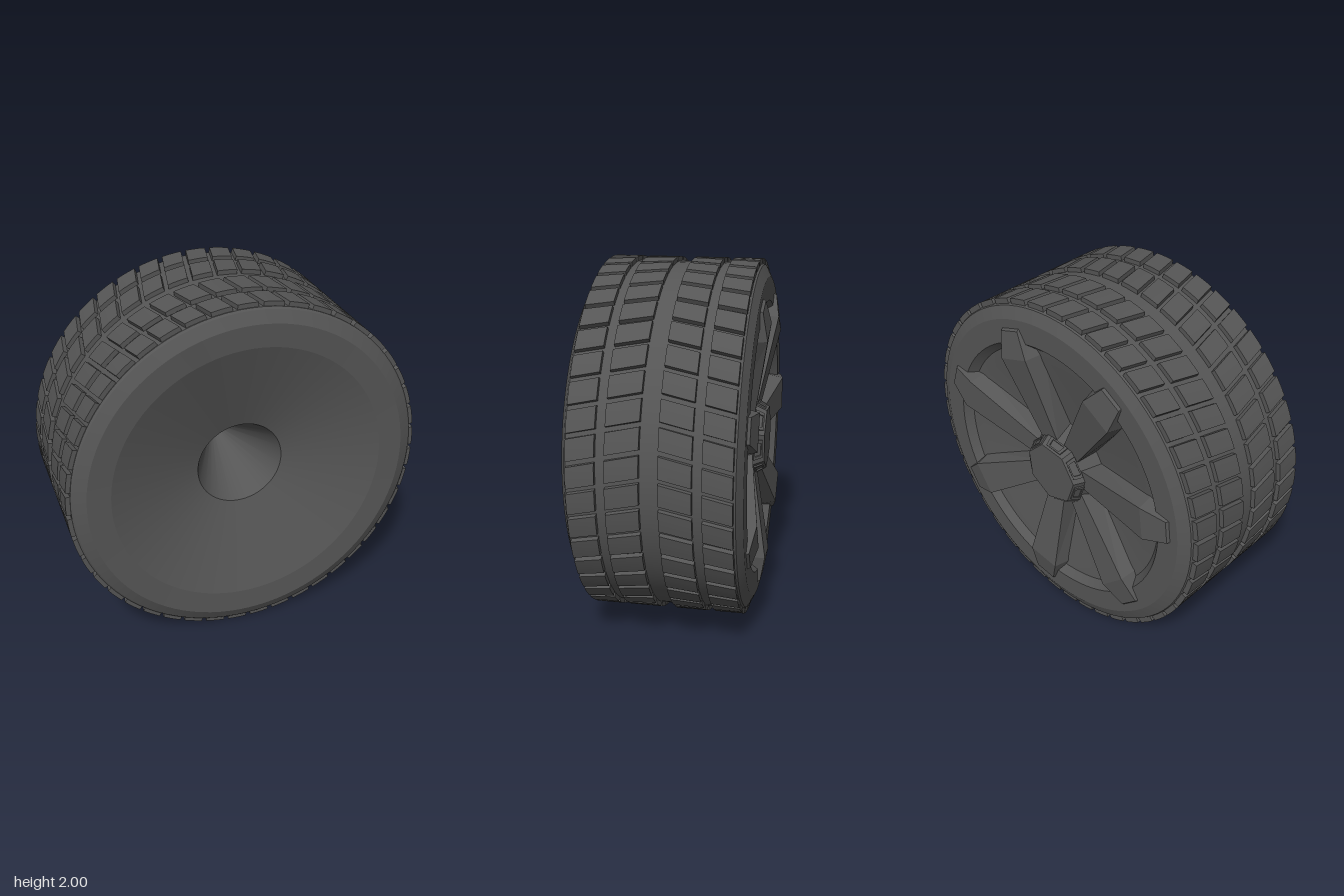
import * as THREE from 'three';
import { mergeGeometries, toCreasedNormals } from 'three/addons/utils/BufferGeometryUtils.js';

const SPOKES = 7;
const FIRST_SPOKE = -Math.PI * 0.75; // angle of the first spoke in the wheel plane
const TREAD_COUNT = 45;

const rubber = new THREE.MeshStandardMaterial({ color: 0x555555 });

function part(name, geometry) {
  const mesh = new THREE.Mesh(geometry, rubber);
  mesh.name = name;
  return mesh;
}

// Replace every vertex of a geometry by rule(vertex)
function reshape(geometry, rule) {
  const pos = geometry.attributes.position;
  const v = new THREE.Vector3();
  for (let i = 0; i < pos.count; i++) {
    rule(v.fromBufferAttribute(pos, i));
    pos.setXYZ(i, v.x, v.y, v.z);
  }
  return geometry;
}

// Closed wheel body: spoked dish at the back, sidewalls, deep cone at the front
function wheelBody() {
  const profile = [
    [0, -0.27], [0.2, -0.28], [0.66, -0.385], [0.73, -0.395], [0.77, -0.44], [0.9, -0.44],
    [0.965, -0.41], [0.975, -0.39], [0.975, 0.43], [0.965, 0.44], [0.9, 0.472],
    [0.77, 0.465], [0.245, 0.3], [0.04, -0.1], [0, -0.1],
  ].map(([r, z]) => new THREE.Vector2(r, z));
  const geometry = new THREE.LatheGeometry(profile, 96).rotateX(Math.PI / 2);
  return part('wheelBody', toCreasedNormals(geometry, 0.2));
}

// One ring of slanted tread blocks between z0 and z1
function treadRow(name, z0, z1) {
  const step = (Math.PI * 2) / TREAD_COUNT;
  const blocks = [];
  for (let i = 0; i < TREAD_COUNT; i++) {
    const block = reshape(new THREE.BoxGeometry(1, 1, 1, 3, 1, 1), (v) => {
      const z = v.z < 0 ? z0 : z1;
      const top = v.y > 0;
      const r = top ? 1 : 0.965;
      const width = step - (top ? 0.028 : 0.022);
      const a = i * step - v.x * width - 0.22 * Math.abs(z - 0.01);
      v.set(r * Math.cos(a), r * Math.sin(a), z);
    });
    blocks.push(block);
  }
  const geometry = mergeGeometries(blocks);
  geometry.computeVertexNormals();
  return part(name, geometry);
}

// Tapered spoke along +y, its outer side towards -z
function spokeGeometry() {
  // radius, outer z, outer half width, inner half width
  const stations = [
    [0.14, -0.39, 0.055, 0.065],
    [0.69, -0.48, 0.1, 0.125],
    [0.84, -0.455, 0.068, 0.085],
    [0.855, -0.43, 0.064, 0.08],
  ];
  const geometry = reshape(new THREE.BoxGeometry(1, 1, 1, 1, 3, 1), (v) => {
    const k = Math.round((v.y + 0.5) * 3);
    const [r, z, outer, inner] = stations[k];
    const out = v.z < 0;
    v.set(Math.sign(v.x) * (out ? outer : inner), r, out ? z : k === 0 ? -0.25 : -0.37);
  }).toNonIndexed();
  geometry.computeVertexNormals();
  return geometry;
}

function trapezoid(shape, scale) {
  const points = [[-0.062, -0.027], [0.062, -0.027], [0.052, 0.027], [-0.052, 0.027]];
  return shape.setFromPoints(points.map(([x, y]) => new THREE.Vector2(x * scale, y * scale)));
}

// Small raised frame for a sloping side of the hub
function hubFrameGeometry() {
  const shape = trapezoid(new THREE.Shape(), 1);
  shape.holes.push(trapezoid(new THREE.Path(), 0.68));
  return new THREE.ExtrudeGeometry(shape, { depth: 0.008, bevelEnabled: false })
    .rotateX(-2.066)
    .translate(0, 0.181, -0.425);
}

export function createModel() {
  const wheel = new THREE.Group();
  wheel.name = 'wheel';
  wheel.position.y = 1;
  wheel.add(wheelBody());

  // Four rows of tread forming a chevron
  const rows = [[-0.4, -0.25], [-0.2, -0.035], [0.06, 0.23], [0.28, 0.425]];
  rows.forEach(([z0, z1], i) => wheel.add(treadRow('treadRow' + (i + 1), z0, z1)));

  // Seven-sided hub with its corners on the spokes
  const hubShape = new THREE.CylinderGeometry(0.18, 0.288, 0.2, SPOKES)
    .rotateX(-Math.PI / 2)
    .rotateZ(FIRST_SPOKE - Math.PI / 2)
    .translate(0, 0, -0.36);
  wheel.add(part('hub', toCreasedNormals(hubShape, 0.2)));

  // Spokes, and hub frames in the gaps between them
  const spoke = spokeGeometry();
  const frame = hubFrameGeometry();
  const turn = (Math.PI * 2) / SPOKES;
  for (let i = 0; i < SPOKES; i++) {
    const angle = FIRST_SPOKE + i * turn - Math.PI / 2;
    const spokeMesh = part('spoke', spoke);
    spokeMesh.rotation.z = angle;
    const frameMesh = part('hubFrame', frame);
    frameMesh.rotation.z = angle + turn / 2;
    wheel.add(spokeMesh, frameMesh);
  }

  const model = new THREE.Group();
  model.name = 'wheelModel';
  model.add(wheel);
  return model;
}
